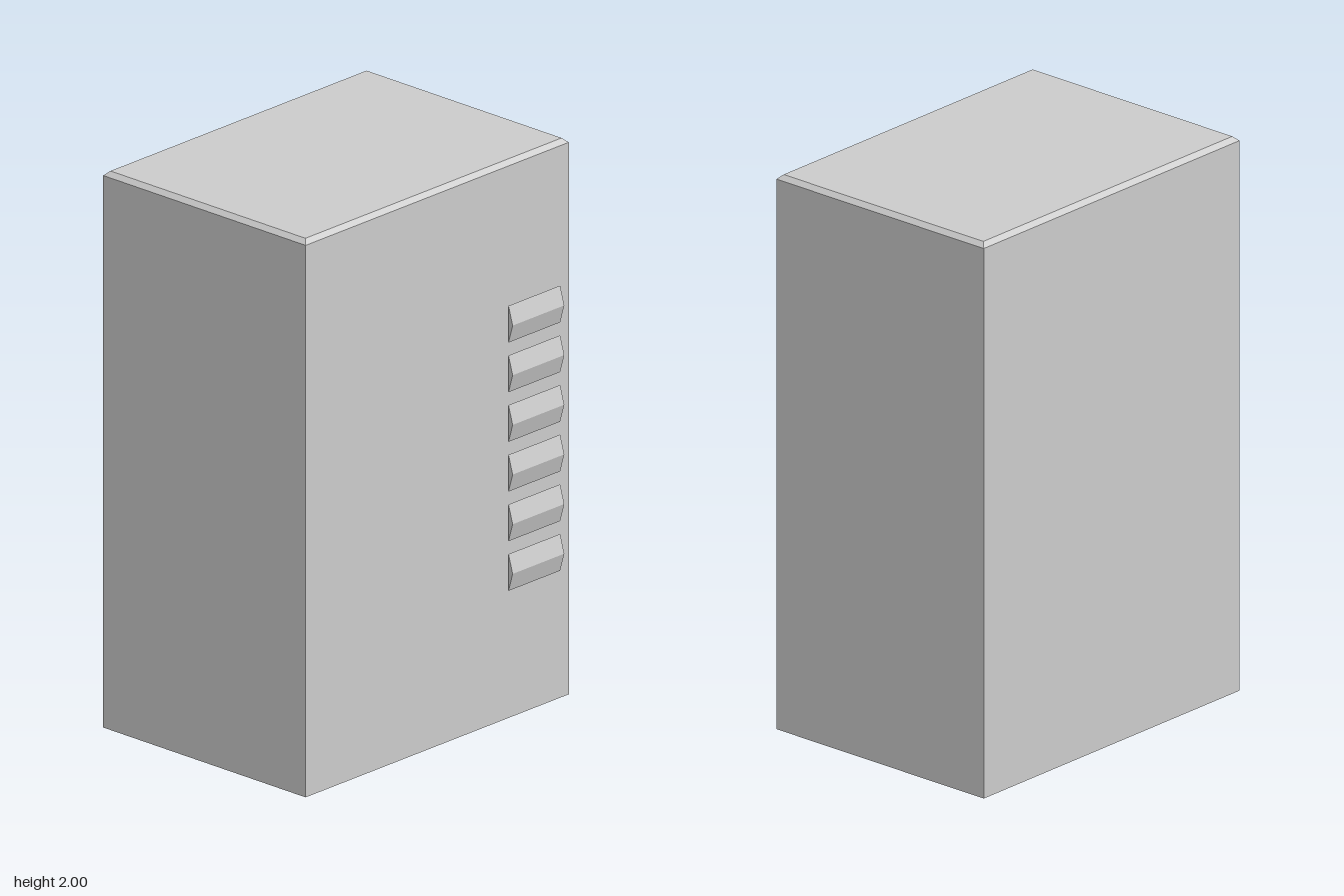
import * as THREE from 'three';

const material = new THREE.MeshStandardMaterial({ color: 0xcccccc, flatShading: true });

function addMesh(parent, name, geometry) {
  const mesh = new THREE.Mesh(geometry, material);
  mesh.name = name;
  parent.add(mesh);
  return mesh;
}

export function createModel() {
  const model = new THREE.Group();
  model.name = 'cabinet';

  // Body: a box from the floor up to the chamfer
  const width = 1.285, depth = 0.928, wallHeight = 1.984, chamfer = 0.017;
  const bodyZ = -0.012;
  const bodyGeometry = new THREE.BoxGeometry(width, 2, depth, 1, 2, 1).toNonIndexed();
  const p = bodyGeometry.attributes.position;
  for (let i = 0; i < p.count; i++) {
    const y = p.getY(i);
    if (y > 0.5) {
      // Top ring: pulled in to make the chamfer
      p.setXYZ(i, p.getX(i) - Math.sign(p.getX(i)) * chamfer, 2,
        p.getZ(i) - Math.sign(p.getZ(i)) * chamfer);
    } else {
      p.setY(i, y < -0.5 ? 0 : wallHeight);
    }
  }
  bodyGeometry.computeVertexNormals();
  addMesh(model, 'body', bodyGeometry).position.z = bodyZ;

  // Louvers: a column of six shallow triangular ridges on the front
  const louvers = new THREE.Group();
  louvers.name = 'louvers';
  model.add(louvers);

  const halfHeight = 0.066, ridge = 0.019, louverWidth = 0.252;
  const profile = new THREE.Shape([
    new THREE.Vector2(0, -halfHeight),
    new THREE.Vector2(0, halfHeight),
    new THREE.Vector2(-ridge, 0),
  ]);
  const louverGeometry = new THREE.ExtrudeGeometry(profile, { depth: louverWidth, bevelEnabled: false });
  louverGeometry.rotateY(Math.PI / 2); // extrusion runs along +x, ridge points to +z
  for (let i = 0; i < 6; i++) {
    addMesh(louvers, `louver${i + 1}`, louverGeometry)
      .position.set(0.343, 1.418 - i * 0.1785, 0.457);
  }

  return model;
}
